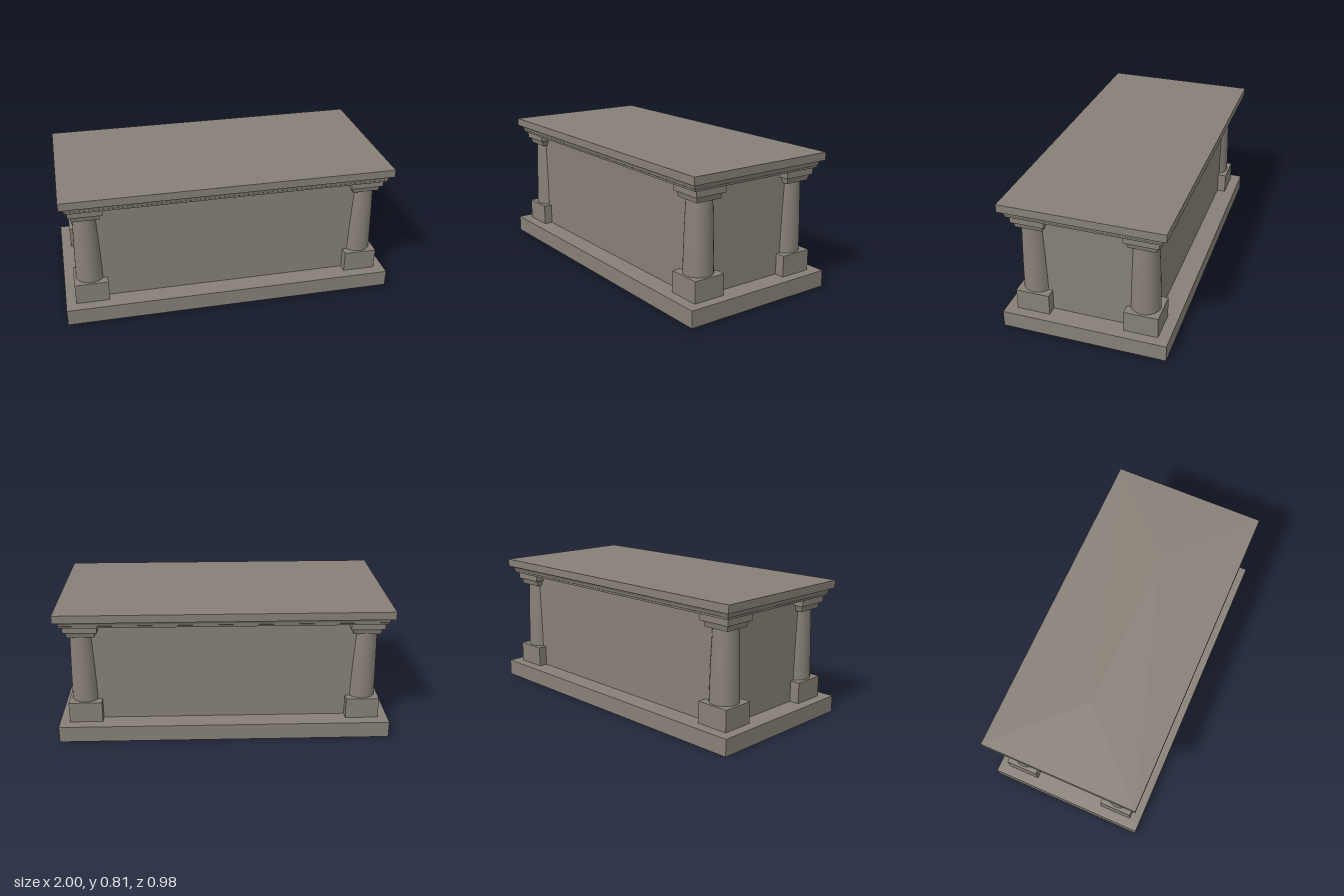
import * as THREE from 'three';
import { toCreasedNormals } from 'three/addons/utils/BufferGeometryUtils.js';

const stone = new THREE.MeshStandardMaterial({ color: 0x878077, side: THREE.DoubleSide });
stone.name = 'stone';

// Rectangular moulding: each profile point is [inset from hx/hz, y], listed from bottom to top
function moulding(hx, hz, profile) {
  const pos = [];
  const rings = profile.map(([inset, y]) => {
    const x = hx - inset, z = hz - inset;
    return [[x, y, z], [x, y, -z], [-x, y, -z], [-x, y, z]];
  });
  for (let r = 0; r < rings.length - 1; r++) {
    for (let i = 0; i < 4; i++) {
      const j = (i + 1) % 4;
      const a = rings[r][i], b = rings[r][j], c = rings[r + 1][j], d = rings[r + 1][i];
      pos.push(...a, ...b, ...c, ...a, ...c, ...d);
    }
  }
  const geo = new THREE.BufferGeometry();
  geo.setAttribute('position', new THREE.Float32BufferAttribute(pos, 3));
  geo.computeVertexNormals();
  return toCreasedNormals(geo, 0.6);
}

// Concave quarter curve flaring outward from [inset0, y0] to [inset1, y1]
function cove(inset0, y0, inset1, y1, steps = 6) {
  return Array.from({ length: steps + 1 }, (_, i) => {
    const t = (i / steps) * Math.PI / 2;
    return [inset0 + (inset1 - inset0) * (1 - Math.cos(t)), y0 + (y1 - y0) * Math.sin(t)];
  });
}

function add(parent, name, geo) {
  const mesh = new THREE.Mesh(geo, stone);
  mesh.name = name;
  parent.add(mesh);
  return mesh;
}

export function createModel() {
  const model = new THREE.Group();
  model.name = 'stoneTomb';
  const wallX = 0.88, wallZ = 0.37;

  // Hollow base step, open below, its tread running in to the chest walls
  add(model, 'base', moulding(1, 0.49, [[0, 0], [0, 0.1], [0.12, 0.1]]));

  // Chest walls
  add(model, 'chestWalls', moulding(wallX, wallZ, [[0, 0.1], [0, 0.725]]));

  // Lid: soffit, coved cornice and flat slab
  add(model, 'lid', moulding(0.985, 0.475, [
    [0.105, 0.725], [0.032, 0.725], [0.03, 0.737],
    ...cove(0.028, 0.739, 0.004, 0.768),
    [0, 0.768], [0, 0.815], [0.475, 0.815],
  ]));

  // Corner columns
  const shaftProfile = [[0.086, 0.228], [0.084, 0.33], [0.081, 0.44], [0.077, 0.55], [0.073, 0.652]]
    .map(([r, y]) => new THREE.Vector2(r, y));
  const plinthGeo = moulding(0.1, 0.1, [[0, 0], [0, 0.228], [0.1, 0.228]]);
  const shaftGeo = new THREE.LatheGeometry(shaftProfile, 32);
  const capitalGeo = moulding(0.1, 0.1, [
    [0.1, 0.65], [0.02, 0.65], [0.018, 0.662],
    ...cove(0.017, 0.664, 0.006, 0.685),
    [0, 0.685], [0, 0.725],
  ]);
  for (const sx of [-1, 1]) {
    for (const sz of [-1, 1]) {
      const column = new THREE.Group();
      column.name = (sz > 0 ? 'front' : 'back') + (sx > 0 ? 'Left' : 'Right') + 'Column';
      add(column, 'plinth', plinthGeo);
      add(column, 'shaft', shaftGeo);
      add(column, 'capital', capitalGeo);
      column.position.set(sx * 0.84, 0, sz * 0.324);
      model.add(column);
    }
  }
  return model;
}
